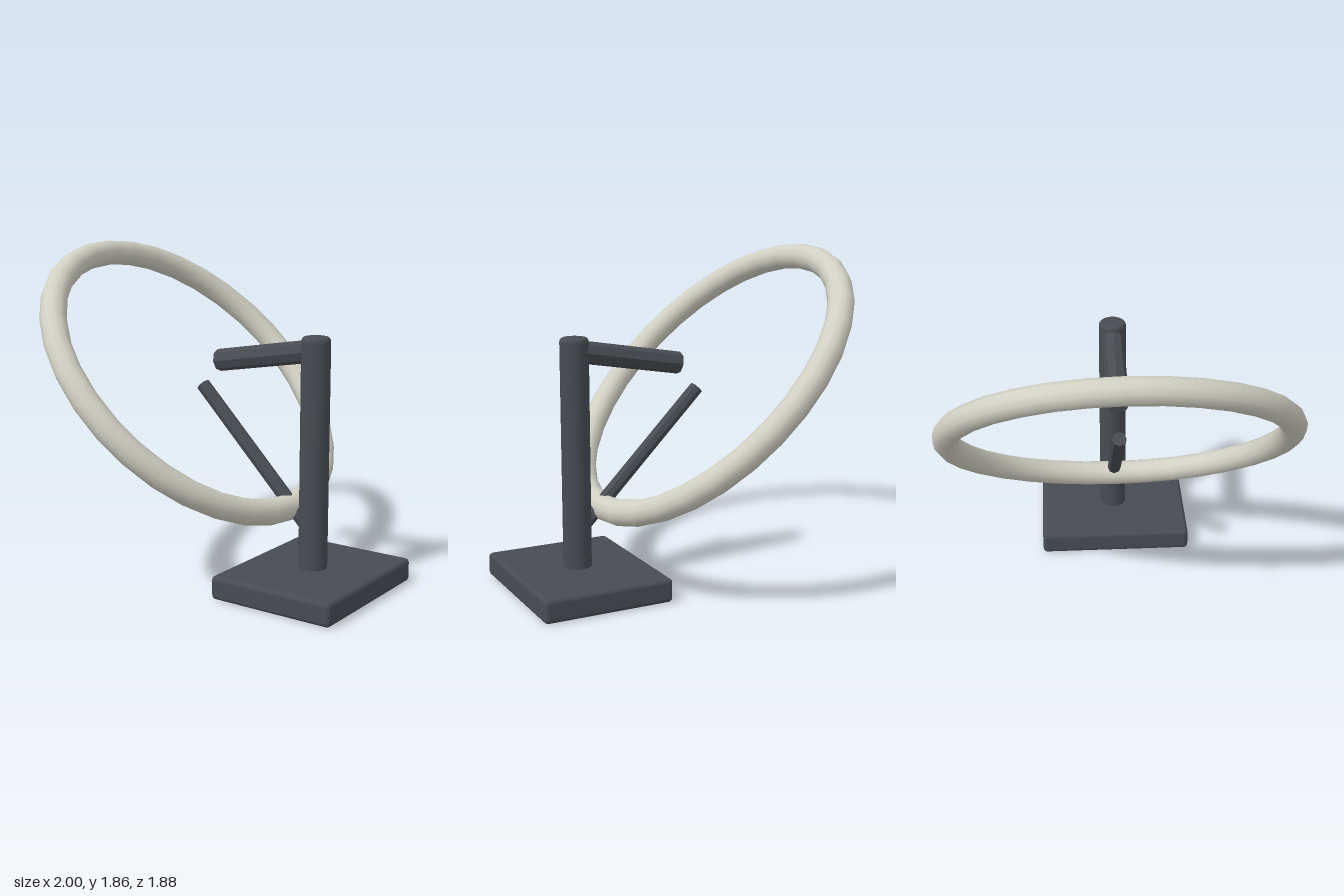
import * as THREE from 'three';
import { RoundedBoxGeometry } from 'three/addons/geometries/RoundedBoxGeometry.js';

const dark = new THREE.MeshStandardMaterial({ color: 0x484c52 });
const darkFaceted = new THREE.MeshStandardMaterial({ color: 0x484c52, flatShading: true });
const pale = new THREE.MeshStandardMaterial({ color: 0xd0d0c4 });

// Straight faceted rod between two points
function rod(name, from, to, radius, sides) {
  const a = new THREE.Vector3(...from);
  const b = new THREE.Vector3(...to);
  const mesh = new THREE.Mesh(new THREE.CylinderGeometry(radius, radius, a.distanceTo(b), sides), darkFaceted);
  mesh.name = name;
  mesh.position.addVectors(a, b).multiplyScalar(0.5);
  mesh.quaternion.setFromUnitVectors(new THREE.Vector3(0, 1, 0), b.sub(a).normalize());
  return mesh;
}

export function createModel() {
  const model = new THREE.Group();
  model.name = 'tiltedRingOnStand';

  // Base slab with softened edges
  const base = new THREE.Mesh(new RoundedBoxGeometry(0.892, 0.132, 0.736, 3, 0.025), dark);
  base.name = 'base';
  base.position.set(0, 0.066, 0.568);
  model.add(base);

  // Upright post with a rounded top rim
  const r = 0.079, top = 1.403, bevel = 0.025;
  const profile = [new THREE.Vector2(0, 0.1), new THREE.Vector2(r, 0.1), new THREE.Vector2(r, 0.12), new THREE.Vector2(r, top - bevel - 0.01)];
  for (let i = 0; i <= 4; i++) {
    const t = (i / 4) * Math.PI / 2;
    profile.push(new THREE.Vector2(r - bevel + bevel * Math.cos(t), top - bevel + bevel * Math.sin(t)));
  }
  profile.push(new THREE.Vector2(0.04, top), new THREE.Vector2(0, top));
  const post = new THREE.Mesh(new THREE.LatheGeometry(profile, 24), dark);
  post.name = 'post';
  post.position.z = 0.568;
  model.add(post);

  // Arm at the head of the post and slim strut rising inside the ring
  model.add(rod('upperArm', [0, 1.327, 0.568], [0, 1.22, -0.06], 0.062, 8));
  model.add(rod('lowerStrut', [0, 0.32, 0.565], [0, 1.07, -0.175], 0.04, 8));

  // Large ring leaning back
  const ring = new THREE.Mesh(new THREE.TorusGeometry(0.928, 0.072, 12, 32), pale);
  ring.name = 'ring';
  ring.position.set(0, 1.115, -0.23);
  ring.rotation.x = -0.763;
  model.add(ring);

  return model;
}
